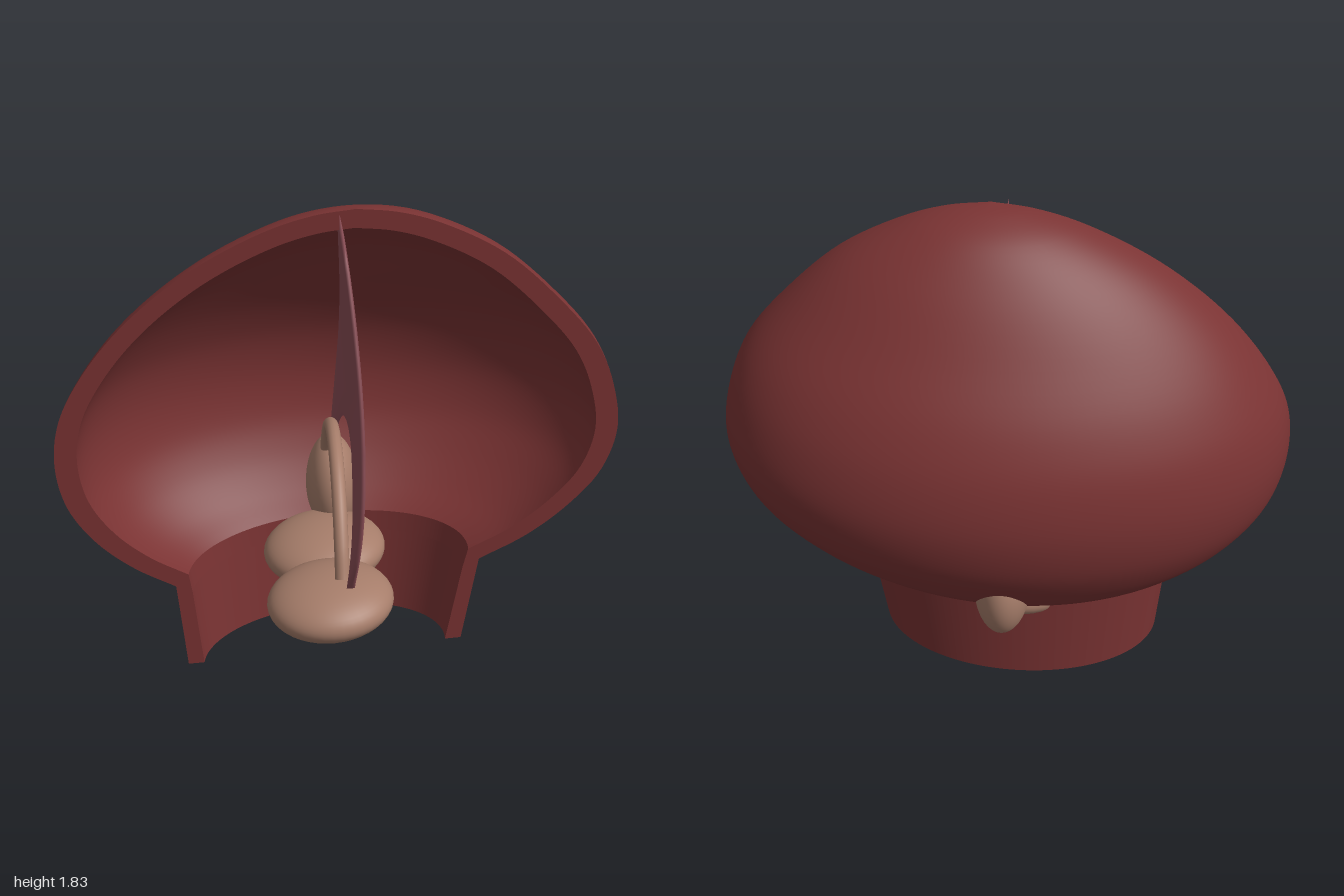
import * as THREE from 'three';

const CUT = 0.04; // plane of the open front

const shellRed = new THREE.MeshStandardMaterial({ color: 0x7a3333, side: THREE.DoubleSide });
shellRed.name = 'shell red';
const membranePlum = new THREE.MeshStandardMaterial({ color: 0x8a4d55, side: THREE.DoubleSide });
membranePlum.name = 'membrane plum';
const tissueTan = new THREE.MeshStandardMaterial({ color: 0xa67d6a });
tissueTan.name = 'tissue tan';

// Smooth surface through equally long rows of points
function loft(rows) {
  const n = rows[0].length, index = [];
  for (let i = 0; i < rows.length - 1; i++) {
    for (let j = 0; j < n - 1; j++) {
      const a = i * n + j, b = a + n;
      index.push(a, b, a + 1, b, b + 1, a + 1);
    }
  }
  const g = new THREE.BufferGeometry().setFromPoints(rows.flat());
  g.setIndex(index);
  g.computeVertexNormals();
  return g;
}

function addMesh(group, name, geometry, material) {
  const m = new THREE.Mesh(geometry, material);
  m.name = name;
  group.add(m);
  return m;
}

// A section is [leftX, leftY, rightX, rightY, depth]: half an ellipse behind the cut
function sectionPoints([lx, ly, rx, ry, d], n = 64) {
  const pts = [];
  for (let i = 0; i <= n; i++) {
    const t = (i / n) * Math.PI, c = (1 - Math.cos(t)) / 2, s = Math.sin(t);
    pts.push(new THREE.Vector3(lx + (rx - lx) * c + 0.1 * d * s, ly + (ry - ly) * c, CUT - d * s));
  }
  return pts;
}

// Smoothly resample the sections
function refine(sections, n) {
  const left = new THREE.CatmullRomCurve3(sections.map(s => new THREE.Vector3(s[0], s[1], s[4])));
  const right = new THREE.CatmullRomCurve3(sections.map(s => new THREE.Vector3(s[2], s[3], s[4])));
  return Array.from({ length: n + 1 }, (_, i) => {
    const a = left.getPoint(i / n), b = right.getPoint(i / n);
    return [a.x, a.y, b.x, b.y, Math.max(0, (a.z + b.z) / 2)];
  });
}

function buildShell() {
  const g = new THREE.Group();
  g.name = 'halfShell';
  const outerCap = refine([
    [-0.60, 0.36, 0.525, 0.43, 0.37],
    [-0.75, 0.45, 0.70, 0.53, 0.47],
    [-0.88, 0.57, 0.85, 0.66, 0.56],
    [-0.97, 0.72, 0.955, 0.80, 0.625],
    [-1.00, 0.89, 1.00, 0.97, 0.65],
    [-0.975, 1.06, 0.97, 1.15, 0.625],
    [-0.89, 1.23, 0.90, 1.31, 0.555],
    [-0.73, 1.43, 0.75, 1.49, 0.43],
    [-0.50, 1.62, 0.56, 1.66, 0.30],
    [-0.25, 1.755, 0.35, 1.77, 0.18],
    [-0.08, 1.81, 0.20, 1.815, 0.08],
    [0.06, 1.83, 0.06, 1.83, 0],
  ], 66);
  const k = 0.92;
  const innerCap = outerCap.map(([a, b, c, d, e]) => [a * k, 1 + (b - 1) * k, c * k, 1 + (d - 1) * k, e * k]);
  const outerRim = [-0.57, 0, 0.47, 0.07, 0.34];
  const innerRim = [-0.51, 0.004, 0.41, 0.066, 0.30];
  const innerStep = [-0.54, 0.33, 0.465, 0.395, 0.335];

  const surface = (name, sections) => addMesh(g, name, loft(sections.map(s => sectionPoints(s))), shellRed);
  surface('domeOutside', outerCap);
  surface('domeInside', innerCap);
  surface('neckOutside', [outerRim, outerCap[0]]);
  surface('neckInside', [innerRim, innerStep]);
  surface('neckLip', [innerStep, innerCap[0]]);
  surface('neckBottom', [outerRim, innerRim]);

  // Flat cut wall on each side, from the neck to the apex
  const out = [outerRim, outerCap[0], ...outerCap];
  const inn = [innerRim, innerStep, ...innerCap];
  for (const [name, o] of [['cutFaceRight', 0], ['cutFaceLeft', 2]]) {
    const edge = list => list.map(s => new THREE.Vector3(s[o], s[o + 1], CUT));
    const rows = o ? [edge(out), edge(inn)] : [edge(inn), edge(out)];
    addMesh(g, name, loft(rows), shellRed);
  }
  return g;
}

// Mirror a front half path of [z, y] behind the cut plane
function mirroredCurve(half, x) {
  const back = half.slice(0, -1).reverse().map(([z, y]) => [2 * CUT - z, y]);
  return new THREE.CatmullRomCurve3([...half, ...back].map(([z, y]) => new THREE.Vector3(x, y, z)));
}

// Crescent sheet, thin at its edges and gently bowed sideways
function buildMembrane() {
  const outer = mirroredCurve([[0.50, 0.645], [0.585, 0.81], [0.61, 0.98], [0.555, 1.2],
    [0.415, 1.5], [0.225, 1.74], [CUT, 1.81]], 0);
  const inner = mirroredCurve([[0.50, 0.645], [0.42, 0.80], [0.28, 0.925], [0.15, 0.975], [CUT, 0.99]], 0);
  const rows = [], n = 60, m = 12;
  for (let i = 0; i <= n; i++) {
    const a = inner.getPoint(i / n), b = outer.getPoint(i / n), row = [];
    for (let j = 0; j <= 2 * m; j++) {
      const v = j <= m ? j / m : 2 - j / m;
      const p = a.clone().lerp(b, v);
      const bow = 0.04 * Math.sin(Math.PI * THREE.MathUtils.clamp((p.y - 0.6) / 1.21, 0, 1));
      const thick = 0.014 * Math.sqrt(Math.max(0, Math.sin(Math.PI * v)));
      p.x = 0.005 + bow + (j <= m ? -thick : thick);
      row.push(p);
    }
    rows.push(row);
  }
  return loft(rows);
}

function ellipsoid(group, name, position, radii, rotation) {
  const m = addMesh(group, name, new THREE.SphereGeometry(1, 40, 28), tissueTan);
  m.position.set(...position);
  m.scale.set(...radii);
  m.rotation.set(...rotation);
}

export function createModel() {
  const model = new THREE.Group();
  model.name = 'cutawayModel';
  model.add(buildShell());
  addMesh(model, 'dividingMembrane', buildMembrane(), membranePlum);

  // Arched cord below the membrane, with closed ends
  const arch = mirroredCurve([[0.45, 0.65], [0.40, 0.75], [0.305, 0.865], [0.18, 0.945], [CUT, 0.973]], -0.015);
  addMesh(model, 'archedCord', new THREE.TubeGeometry(arch, 60, 0.025, 14), tissueTan);
  for (const u of [0, 1]) {
    const cap = addMesh(model, 'cordEnd', new THREE.CircleGeometry(0.025, 14), tissueTan);
    cap.position.copy(arch.getPoint(u));
    cap.lookAt(cap.position.clone().addScaledVector(arch.getTangent(u), u ? 1 : -1));
  }

  // Paired flat lobes and the upright lobe at the back
  for (const [name, z] of [['frontLobe', 0.21], ['backLobe', 2 * CUT - 0.21]]) {
    ellipsoid(model, name, [-0.04, 0.393, z], [0.23, 0.105, 0.22], [0, 0, 0.07]);
  }
  ellipsoid(model, 'uprightLobe', [0.005, 0.535, -0.37], [0.1, 0.2, 0.155], [-0.1, 0, 0]);
  return model;
}
